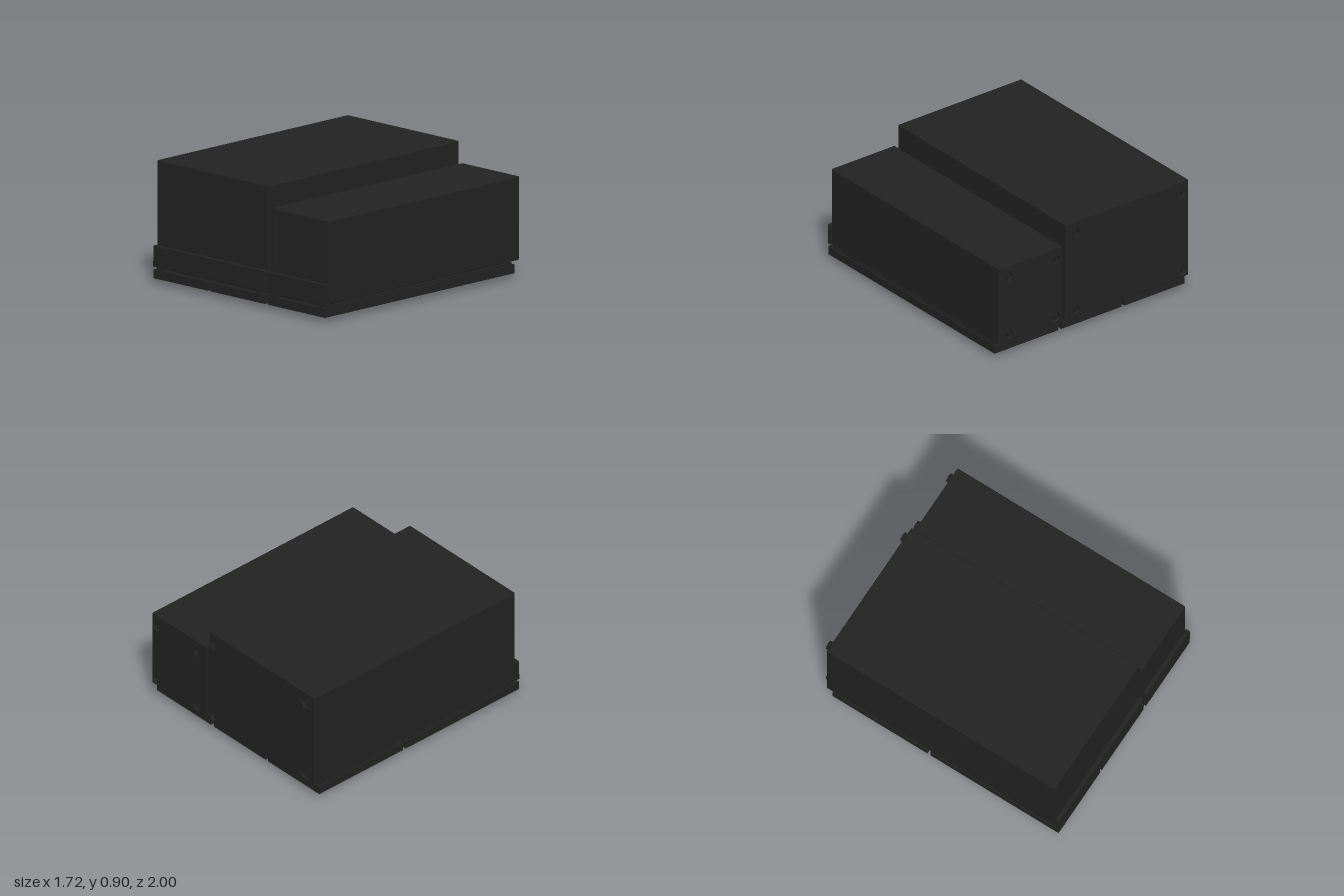
import * as THREE from 'three';
import { RoundedBoxGeometry } from 'three/addons/geometries/RoundedBoxGeometry.js';

const dark = new THREE.MeshStandardMaterial({ color: 0x222222 });
const grey = new THREE.MeshStandardMaterial({ color: 0x777777 });

function add(parent, name, geometry, material = dark) {
  const mesh = new THREE.Mesh(geometry, material);
  mesh.name = name;
  parent.add(mesh);
  return mesh;
}

// Box given by its limits; a radius rounds its edges
function block(parent, name, [x0, x1], [y0, y1], [z0, z1], radius = 0, material = dark) {
  const size = [x1 - x0, y1 - y0, z1 - z0];
  const geo = radius ? new RoundedBoxGeometry(...size, 2, radius) : new THREE.BoxGeometry(...size);
  const mesh = add(parent, name, geo, material);
  mesh.position.set((x0 + x1) / 2, (y0 + y1) / 2, (z0 + z1) / 2);
  return mesh;
}

// Ring-shaped rubber foot with a recessed centre, pointing backwards
function foot(parent, x, y) {
  const profile = [[0, 0.012], [0.014, 0.012], [0.016, 0.032], [0.03, 0.032], [0.034, 0.028], [0.034, 0]]
    .map(([r, h]) => new THREE.Vector2(r, h));
  const geo = new THREE.LatheGeometry(profile, 24);
  geo.computeVertexNormals();
  const mesh = add(parent, 'rearFoot', geo);
  mesh.rotation.x = -Math.PI / 2;
  mesh.position.set(x, y, -0.968);
}

// Case with a front skirt, end brackets and rear feet
function cabinet(name, x0, x1, top, feetX, feetY) {
  const g = new THREE.Group();
  g.name = name;
  block(g, 'case', [x0, x1], [0.125, top], [-0.968, 0.96], 0.008);
  block(g, 'frontSkirt', [x0, x1], [0.125, 0.277], [0.966, 1], 0.004);
  block(g, 'skirtMount', [x0 + 0.04, x1 - 0.04], [0.16, 0.24], [0.955, 0.97]);
  // End brackets joining the skirt to the door panels
  for (const [edge, s] of [[x0, 1], [x1, -1]]) {
    const span = (a, b) => [edge + s * a, edge + s * b].sort((p, q) => p - q);
    block(g, 'hingeBracket', span(0.04, 0.08), [0.05, 0.16], [0.97, 0.999]);
    block(g, 'hingeCap', span(0, 0.045), [0.122, 0.162], [0.965, 1]);
    block(g, 'hingeLip', span(0.045, 0.085), [0.05, 0.07], [0.96, 0.9995]);
  }
  for (const x of feetX) for (const y of feetY) foot(g, x, y);
  return g;
}

// Bottom panel with a pale underside and a thin inset layer above
function panel(parent, x, z) {
  block(parent, 'panelBody', x, [0.036, 0.1], z);
  block(parent, 'panelUnderside', x, [0.03, 0.036], z, 0, grey);
  block(parent, 'panelRail', [x[0] + 0.01, x[1] - 0.01], [0.1, 0.116], [z[0] + 0.02, z[1] - 0.04]);
}

export function createModel() {
  const model = new THREE.Group();
  model.name = 'twinCabinet';

  model.add(cabinet('largeCabinet', -0.86, 0.253, 0.895, [-0.79, 0.185], [0.82, 0.195]));
  model.add(cabinet('smallCabinet', 0.286, 0.857, 0.738, [0.36, 0.785], [0.66, 0.195]));

  // Four panels under the large case, one under the small case
  const base = new THREE.Group();
  base.name = 'bottomPanels';
  for (const x of [[-0.86, -0.317], [-0.292, 0.253]])
    for (const z of [[-0.92, -0.115], [-0.09, 0.995]]) panel(base, x, z);
  panel(base, [0.286, 0.857], [-0.92, 0.995]);
  model.add(base);

  // Hooked pull handle on the inner edge of the small panel
  const handle = new THREE.Group();
  handle.name = 'pullHandle';
  for (const z of [[0.26, 0.292], [0.448, 0.48]])
    block(handle, 'handleLeg', [0.276, 0.286], [0.012, 0.07], z);
  block(handle, 'handleBar', [0.276, 0.286], [0.01, 0.018], [0.26, 0.48]);
  const lip = block(handle, 'handleLip', [0.276, 0.3], [0.003, 0.011], [0.26, 0.48]);
  lip.rotation.z = -0.35;
  model.add(handle);

  return model;
}
